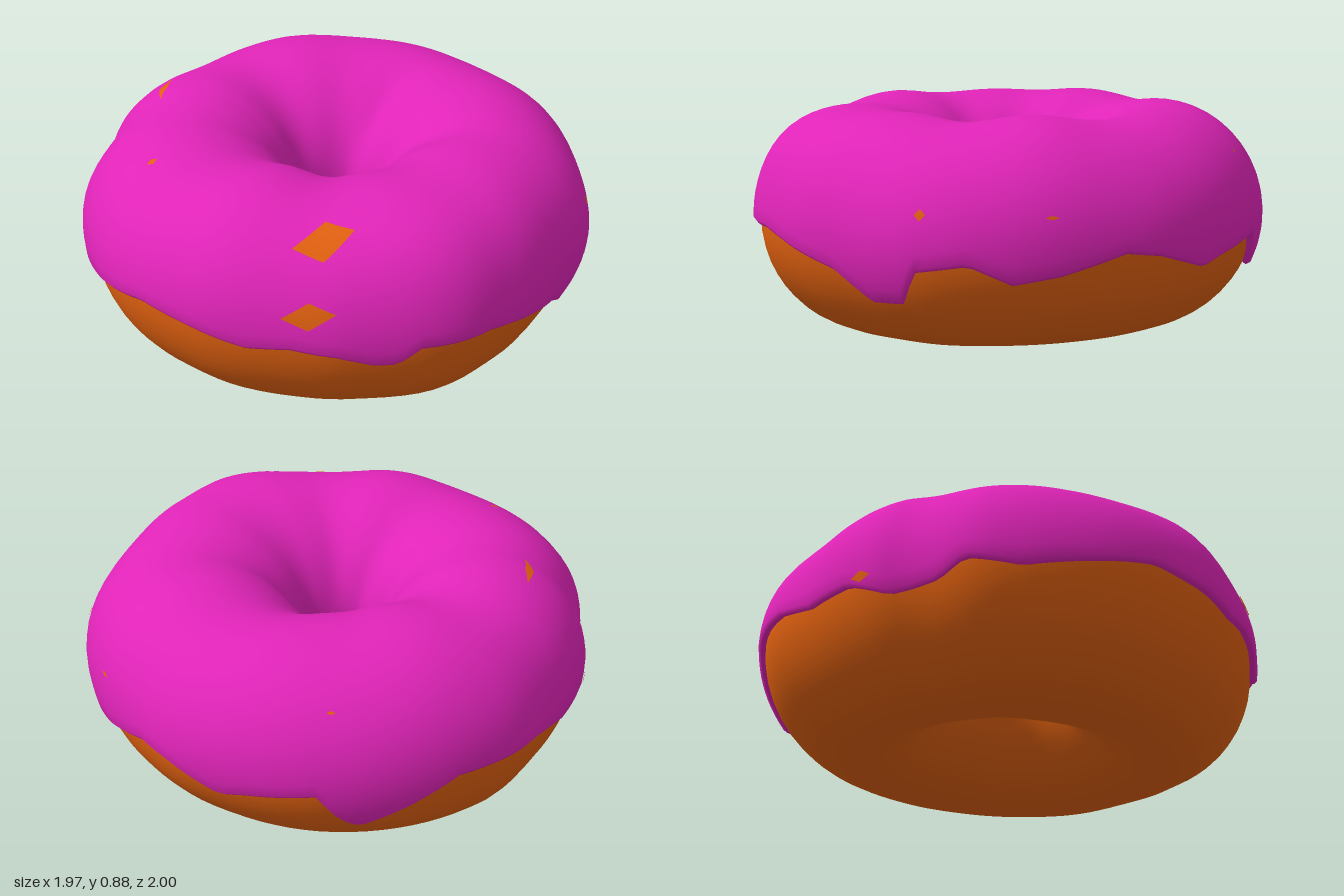
import * as THREE from 'three';

const RAD = Math.PI / 180;

// Outer radius, hole radius and icing edge height as [degrees from +x towards +z, value]
const OUTER = [[-180, 0.99], [-158, 0.99], [-140, 0.945], [-131, 0.965], [-111, 0.965], [-90, 1],
  [-67, 1], [-50, 1], [-18, 0.995], [0, 0.985], [20, 0.985], [37, 0.995], [58, 0.965], [75, 0.98],
  [90, 1], [115, 0.955], [130, 0.945], [152, 0.96]];
const HOLE = [[-180, 0.135], [-130, 0.17], [-105, 0.178], [-50, 0.18], [-20, 0.15], [8, 0.16],
  [32, 0.155], [70, 0.15], [115, 0.14], [155, 0.15]];
const EDGE = [[-180, 0.42], [-165, 0.38], [-153, 0.42], [-147, 0.36], [-135, 0.34], [-125, 0.41],
  [-112, 0.4], [-100, 0.45], [-78, 0.45], [-65, 0.33], [-57, 0.26], [-53, 0.3], [-48, 0.42],
  [-33, 0.38], [-27, 0.35], [-14, 0.42], [-6, 0.44], [8, 0.37], [18, 0.34], [27, 0.41], [38, 0.38],
  [42, 0.25], [50, 0.24], [60, 0.35], [72, 0.4], [84, 0.45], [100, 0.45], [105, 0.38], [110, 0.38],
  [118, 0.42], [128, 0.44], [138, 0.42], [150, 0.45], [165, 0.47]];

// Periodic lookup in a table of angles
function lookup(table, deg, smooth = true) {
  const d = ((((deg + 180) % 360) + 360) % 360) - 180;
  let k = table.length - 1;
  while (k > 0 && table[k][0] > d) k--;
  const [a0, v0] = table[k];
  const [a1, v1] = k + 1 < table.length ? table[k + 1] : [table[0][0] + 360, table[0][1]];
  let t = (d - a0) / (a1 - a0);
  if (smooth) t = t * t * (3 - 2 * t);
  return v0 + (v1 - v0) * t;
}

const bell = (x, centre, width) => Math.exp(-(((x - centre) / width) ** 2));

// Icing surface: deg runs round the ring, phi round the section (0 outside, 90 top), inset goes inwards
function icingPoint(deg, phi, inset = 0) {
  const outer = lookup(OUTER, deg), hole = lookup(HOLE, deg), t = deg * RAD;
  const lump = 0.008 * Math.sin(5 * t + 1) + 0.007 * Math.sin(8 * t)
    - 0.05 * bell(deg, -28, 14) * bell(phi, 135, 35)
    + 0.03 * bell(deg, 92, 30) * bell(phi, 45, 30);
  const up = Math.max(0, Math.sin(phi * RAD));
  const grow = lump * up - inset;
  const r = (outer + hole) / 2 + ((outer - hole) / 2 + grow) * Math.cos(phi * RAD);
  const y = 0.45 + (0.415 + grow) * Math.sin(phi * RAD);
  return [r * Math.cos(t), y, r * Math.sin(t)];
}

// Dough surface: just under the icing above, a slightly uneven base below
function doughPoint(deg, phi) {
  const p = icingPoint(deg, phi, 0.028);
  if (phi < 0) p[1] = 0.45 + (0.426 + 0.022 * Math.cos((deg - 160) * RAD)) * Math.sin(phi * RAD)
    * (1 - 0.05 * Math.cos(phi * RAD) ** 2);
  return p;
}

// Skin a grid of points, optionally closed in each direction
function skin(rows, closeRows, closeCols) {
  const n = rows.length, m = rows[0].length, index = [];
  for (let i = 0; i < (closeRows ? n : n - 1); i++) {
    for (let j = 0; j < (closeCols ? m : m - 1); j++) {
      const i1 = (i + 1) % n, j1 = (j + 1) % m;
      const a = i * m + j, b = i * m + j1, c = i1 * m + j, d = i1 * m + j1;
      index.push(a, b, c, c, b, d);
    }
  }
  const geo = new THREE.BufferGeometry();
  geo.setAttribute('position', new THREE.Float32BufferAttribute(rows.flat(2), 3));
  geo.setIndex(index);
  geo.computeVertexNormals();
  return geo;
}

export function createModel() {
  const group = new THREE.Group();
  group.name = 'donut';
  const doughMat = new THREE.MeshStandardMaterial({ color: 0xe06010 });
  const icingMat = new THREE.MeshStandardMaterial({ color: 0xe024b8, side: THREE.DoubleSide });
  const add = (name, geo, mat) => {
    const mesh = new THREE.Mesh(geo, mat);
    mesh.name = name;
    group.add(mesh);
  };

  // Dough ring
  const doughRows = [];
  for (let i = 0; i < 90; i++) {
    const row = [];
    for (let j = 0; j < 48; j++) row.push(doughPoint(i * 4 - 180, j * 7.5 - 180));
    doughRows.push(row);
  }
  add('dough', skin(doughRows, true, true), doughMat);

  // Icing shell with a dripping outer edge, its rims turned into the dough
  const icingRows = [];
  for (let i = 0; i < 180; i++) {
    const deg = i * 2 - 180;
    const start = Math.asin((lookup(EDGE, deg, false) - 0.45) / 0.415) / RAD;
    const end = 185 + 6 * Math.sin(4 * deg * RAD);
    const row = [icingPoint(deg, start, 0.045), icingPoint(deg, start - 0.8, 0.012)];
    for (let j = 0; j <= 30; j++) row.push(icingPoint(deg, start + 1.5 + ((end - start - 1.5) * j) / 30));
    row.push(icingPoint(deg, end + 1, 0.045));
    icingRows.push(row);
  }
  add('icing', skin(icingRows, true, false), icingMat);

  // Bare spots where dough shows through: deg, phi, half sizes, slant
  const spots = [
    [121, 56, 8, 11, 0.5], [124, 18, 6, 7, 0.3], [-131, 67, 7, 2.5, 0.5], [-175, 66, 1.2, 3, 0],
    [37, 18, 1.2, 3, 0], [10, 17, 1.5, 1, 0], [-51, 40, 1, 1, 0], [-129, -4, 2.5, 3, 0],
  ];
  for (const [deg, phi, w, h, slant] of spots) {
    const rows = [];
    for (let i = 0; i <= 6; i++) {
      const row = [];
      for (let j = 0; j <= 6; j++) {
        const u = i / 3 - 1, v = j / 3 - 1;
        // diamond outline
        const du = (u + v) / 2, dv = (v - u) / 2;
        row.push(icingPoint(deg + w * du, phi + h * (dv - slant * du), -0.004));
      }
      rows.push(row);
    }
    add('bareSpot', skin(rows, false, false), doughMat);
  }
  return group;
}
